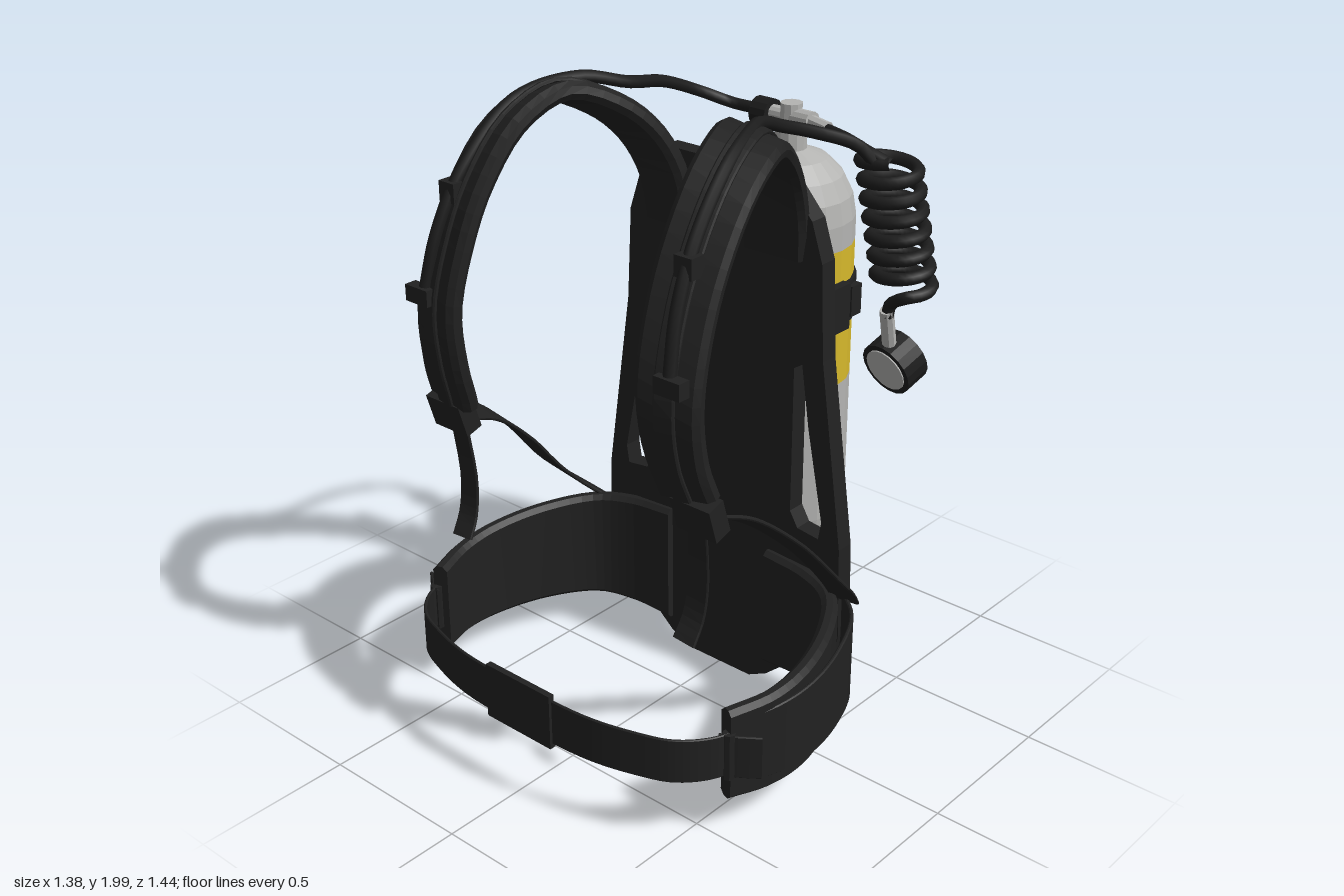
import * as THREE from 'three';

const mat = (name, color) => {
  const m = new THREE.MeshStandardMaterial({ color });
  m.name = name;
  return m;
};
const V = (p) => new THREE.Vector3(...p);

export function createModel() {
  const root = new THREE.Group();
  root.name = 'breathingApparatus';
  const fabric = mat('blackFabric', 0x212121);
  const rubber = mat('blackRubber', 0x1c1c1c);
  const metal = mat('lightGreyMetal', 0xb4b4b2);
  const yellow = mat('yellowBand', 0xd6b82c);

  const add = (name, geo, material, pos = [0, 0, 0]) => {
    const m = new THREE.Mesh(geo, material);
    m.name = name;
    m.position.set(...pos);
    root.add(m);
    return m;
  };
  const flat = (g) => {
    const f = g.index ? g.toNonIndexed() : g;
    f.computeVertexNormals();
    return f;
  };
  const box = (name, size, pos, material = fabric) => add(name, new THREE.BoxGeometry(...size), material, pos);

  // cylinder between two points
  const rod = (name, a, b, r, material, sides = 12, r2 = r) => {
    const d = V(b).sub(V(a));
    const m = add(name, flat(new THREE.CylinderGeometry(r2, r, d.length(), sides)), material);
    m.position.copy(V(a)).addScaledVector(d, 0.5);
    m.quaternion.setFromUnitVectors(new THREE.Vector3(0, 1, 0), d.normalize());
    return m;
  };
  const hose = (name, pts, r = 0.019, segs = 48) =>
    add(name, new THREE.TubeGeometry(new THREE.CatmullRomCurve3(pts.map(V)), segs, r, 8), rubber);

  // chamfered strip swept along a path; side is its width direction, lift offsets it outwards
  const ribbon = (name, pts, [w0, w1], thick, side, { lift = 0, segs = 26, material = fabric } = {}) => {
    const curve = new THREE.CatmullRomCurve3(pts.map(V));
    const pos = [], idx = [];
    for (let i = 0; i <= segs; i++) {
      const t = i / segs, c = curve.getPoint(t), T = curve.getTangent(t);
      const S = V(side).addScaledVector(T, -V(side).dot(T)).normalize();
      const N = T.clone().cross(S);
      const a = (w0 + (w1 - w0) * t) / 2, b = thick / 2, k = b * 0.6;
      for (const [u, v] of [[a, -b + k], [a, b - k], [a - k, b], [k - a, b], [-a, b - k], [-a, k - b], [k - a, -b], [a - k, -b]]) {
        const p = c.clone().addScaledVector(S, u).addScaledVector(N, v + lift);
        pos.push(p.x, p.y, p.z);
      }
    }
    for (let i = 0; i < segs; i++) for (let j = 0; j < 8; j++) {
      const p = i * 8 + j, q = i * 8 + (j + 1) % 8;
      idx.push(p, q, p + 8, q, q + 8, p + 8);
    }
    for (let j = 1; j < 7; j++) {
      const e = segs * 8;
      idx.push(0, j + 1, j, e, e + j, e + j + 1);
    }
    const g = new THREE.BufferGeometry();
    g.setAttribute('position', new THREE.Float32BufferAttribute(pos, 3));
    g.setIndex(idx);
    return add(name, flat(g), material);
  };

  // back plate with a long opening on each side
  const half = [[0.13, 0.005], [0.2, 0.04], [0.27, 0.1], [0.46, 0.16], [0.48, 0.3], [0.47, 0.6],
    [0.385, 1.2], [0.37, 1.5], [0.33, 1.62], [0.23, 1.73]];
  const outline = [...half, ...half.slice().reverse().map(([x, y]) => [-x, y])];
  const plate = new THREE.Shape(outline.map(([x, y]) => new THREE.Vector2(x, y)));
  const opening = [[0.28, 0.67], [0.31, 0.62], [0.39, 0.61], [0.4, 0.67], [0.34, 0.97], [0.31, 1.17], [0.28, 1.15]];
  for (const s of [1, -1]) plate.holes.push(new THREE.Path(opening.map(([x, y]) => new THREE.Vector2(s * x, y))));
  add('backPlate', new THREE.ExtrudeGeometry(plate, { depth: 0.06, bevelEnabled: false }), fabric, [0, 0, -0.25]);
  box('plateFrame', [0.4, 1.3, 0.035], [0, 0.8, -0.265]);
  box('cylinderCradle', [0.48, 0.5, 0.06], [0, 1.25, -0.28]);

  for (const s of [1, -1]) {
    const m = (pts) => pts.map(([x, y, z]) => [s * x, y, z]);
    const bank = [0.95, -0.25 * s, -0.2 * s];
    const up = [0, s, 0];

    // padded shoulder strap with webbing on top
    const path = m([[0.2, 1.5, -0.19], [0.215, 1.66, -0.165], [0.245, 1.79, -0.1], [0.29, 1.885, 0],
      [0.36, 1.94, 0.14], [0.4, 1.875, 0.29], [0.42, 1.72, 0.42], [0.43, 1.55, 0.5],
      [0.44, 1.37, 0.545], [0.445, 1.2, 0.53], [0.46, 1.07, 0.49]]);
    ribbon('shoulderStrap', path, [0.21, 0.19], 0.055, bank, { segs: 36 });
    ribbon('shoulderWebbing', path.slice(2), [0.07, 0.06], 0.015, bank, { lift: 0.032, segs: 32 });
    box('strapKeeper', [0.09, 0.05, 0.04], [s * 0.475, 1.42, 0.58]);
    box('strapClip', [0.06, 0.06, 0.05], [s * 0.44, 1.71, 0.47]);

    // adjuster with its lower webbing and hanging tail
    const adj = box('strapAdjuster', [0.14, 0.11, 0.06], [s * 0.485, 1.01, 0.475]);
    adj.rotation.x = 0.3;
    ribbon('lowerWebbing', m([[0.5, 1.0, 0.46], [0.52, 0.94, 0.32], [0.555, 0.8, 0.15], [0.57, 0.6, -0.03], [0.48, 0.42, -0.22]]),
      [0.1, 0.09], 0.012, [0.75, 0.4 * s, 0.3 * s]);
    ribbon('webbingTail', m([[0.47, 0.98, 0.47], [0.46, 0.78, 0.45], [0.455, 0.67, 0.465], [0.45, 0.6, 0.5]]),
      [0.07, 0.08], 0.01, [1, 0, 0], { segs: 10 });

    // hip pad and belt
    ribbon('hipPad', m([[0.2, 0.3, -0.19], [0.36, 0.3, -0.18], [0.48, 0.3, -0.13], [0.58, 0.295, 0.02],
      [0.635, 0.285, 0.2], [0.635, 0.28, 0.34], [0.59, 0.28, 0.48]]), [0.41, 0.3], 0.05, up);
    ribbon('hipPadCover', m([[0.47, 0.3, -0.22], [0.57, 0.3, -0.13], [0.635, 0.29, 0.02], [0.668, 0.285, 0.18],
      [0.66, 0.285, 0.33], [0.61, 0.285, 0.47]]), [0.3, 0.22], 0.012, up);
    ribbon('waistBelt', m([[0.62, 0.29, 0.44], [0.58, 0.29, 0.54], [0.51, 0.29, 0.615], [0.4, 0.29, 0.66],
      [0.25, 0.29, 0.695], [0, 0.295, 0.712]]), [0.14, 0.15], 0.01, up);
    ribbon('beltTail', m([[0.58, 0.285, 0.5], [0.63, 0.285, 0.475], [0.685, 0.285, 0.435]]), [0.14, 0.14], 0.01, up, { segs: 4 });
    rod('beltAdjuster', [s * 0.605, 0.21, 0.485], [s * 0.605, 0.36, 0.485], 0.02, fabric, 8);

    // ends of the cylinder band running to the plate
    box('bandEnd', [0.014, 0.13, 0.2], [s * 0.218, 1.23, -0.4]);
  }
  box('waistBuckle', [0.26, 0.18, 0.02], [0, 0.295, 0.71]);

  // gas cylinder
  const cz = -0.507;
  const turned = (name, pts, material) =>
    add(name, flat(new THREE.LatheGeometry(pts.map((p) => new THREE.Vector2(...p)), 20)), material, [0, 0, cz]);
  turned('cylinderLower', [[0, 0.285], [0.06, 0.29], [0.125, 0.325], [0.175, 0.38], [0.2, 0.44], [0.207, 0.5], [0.207, 0.96]], metal);
  turned('cylinderBand', [[0.207, 0.96], [0.207, 1.41]], yellow);
  turned('cylinderUpper', [[0.207, 1.41], [0.207, 1.49], [0.195, 1.56], [0.165, 1.62], [0.115, 1.67], [0.05, 1.695], [0, 1.695]], metal);
  turned('retainingBand', [[0.207, 1.165], [0.216, 1.165], [0.216, 1.3], [0.207, 1.3]], fabric);
  box('bandBuckle', [0.03, 0.15, 0.1], [0.222, 1.235, -0.47]);
  box('bandClip', [0.025, 0.1, 0.05], [0.212, 1.235, -0.57]);

  // lower valve
  rod('lowerNeck', [0, 0.22, cz], [0, 0.295, cz], 0.045, metal);
  rod('lowerValveBody', [0, 0.08, cz], [0, 0.235, cz], 0.035, metal, 10);
  rod('lowerHandwheel', [0, 0, cz], [0, 0.09, cz], 0.068, rubber, 14, 0.062);
  rod('sideOutlet', [0, 0.18, cz], [0.07, 0.18, cz + 0.015], 0.03, metal);
  rod('sideGauge', [0.065, 0.18, cz + 0.014], [0.115, 0.18, cz + 0.024], 0.055, rubber, 14);
  rod('sideGaugeFace', [0.115, 0.18, cz + 0.024], [0.119, 0.18, cz + 0.025], 0.045, metal, 14);
  rod('reducerStem', [0, 0.18, cz], [0, 0.18, -0.42], 0.028, metal);
  rod('reducer', [0, 0.18, -0.43], [0, 0.18, -0.25], 0.04, rubber, 12, 0.06);

  // upper valve
  rod('upperNeck', [0, 1.68, cz], [0, 1.76, cz], 0.05, metal);
  rod('upperValveBody', [0, 1.74, cz], [0, 1.835, cz], 0.035, metal, 10);
  rod('upperValveStem', [-0.08, 1.79, cz], [0, 1.79, cz], 0.025, metal);
  rod('upperHandwheel', [-0.13, 1.785, cz], [-0.07, 1.785, cz], 0.046, rubber, 14);
  rod('upperOutlet', [0, 1.79, cz], [0.09, 1.795, -0.495], 0.03, metal);
  rod('outletFitting', [0.08, 1.795, -0.495], [0.16, 1.79, -0.48], 0.021, metal, 8);

  // hoses over the shoulders
  hose('rightHose', [[-0.13, 1.79, cz], [-0.23, 1.79, -0.505], [-0.295, 1.83, -0.43], [-0.31, 1.89, -0.28], [-0.29, 1.93, -0.1],
    [-0.34, 1.97, 0.06], [-0.4, 1.935, 0.26], [-0.43, 1.77, 0.44], [-0.45, 1.6, 0.53], [-0.465, 1.43, 0.575]]);
  hose('leftHose', [[0.36, 1.74, -0.44], [0.32, 1.79, -0.41], [0.25, 1.84, -0.3], [0.23, 1.885, -0.17], [0.28, 1.94, -0.02],
    [0.36, 1.97, 0.13], [0.41, 1.92, 0.29], [0.435, 1.77, 0.44], [0.45, 1.6, 0.53], [0.465, 1.43, 0.575]]);
  hose('outletHose', [[0.15, 1.79, -0.48], [0.25, 1.785, -0.455], [0.33, 1.77, -0.44], [0.4, 1.74, -0.46]], 0.017, 16);

  // coiled hose, fitting and pressure gauge
  const coil = [], turns = 7;
  for (let i = 0; i <= turns * 12; i++) {
    const t = i / (turns * 12), a = t * turns * Math.PI * 2 + 0.9;
    coil.push([0.35 + 0.06 * t + 0.085 * Math.cos(a), 1.74 - 0.41 * t, -0.52 - 0.035 * t + 0.083 * Math.sin(a)]);
  }
  coil.push([0.4, 1.29, -0.5], [0.39, 1.25, -0.5]);
  hose('coiledHose', coil, 0.02, 200);
  rod('gaugeFitting', [0.39, 1.27, -0.495], [0.375, 1.14, -0.54], 0.022, metal, 8);
  const centre = [0.37, 1.065, -0.585], axis = V([0.12, 0.36, -0.92]).normalize();
  const along = (d) => V(centre).addScaledVector(axis, d).toArray();
  rod('gaugeBody', along(-0.045), along(0.045), 0.092, rubber, 18);
  rod('gaugeDial', along(0.044), along(0.049), 0.074, metal, 18);
  rod('gaugeBack', along(-0.049), along(-0.044), 0.074, metal, 18);

  return root;
}
